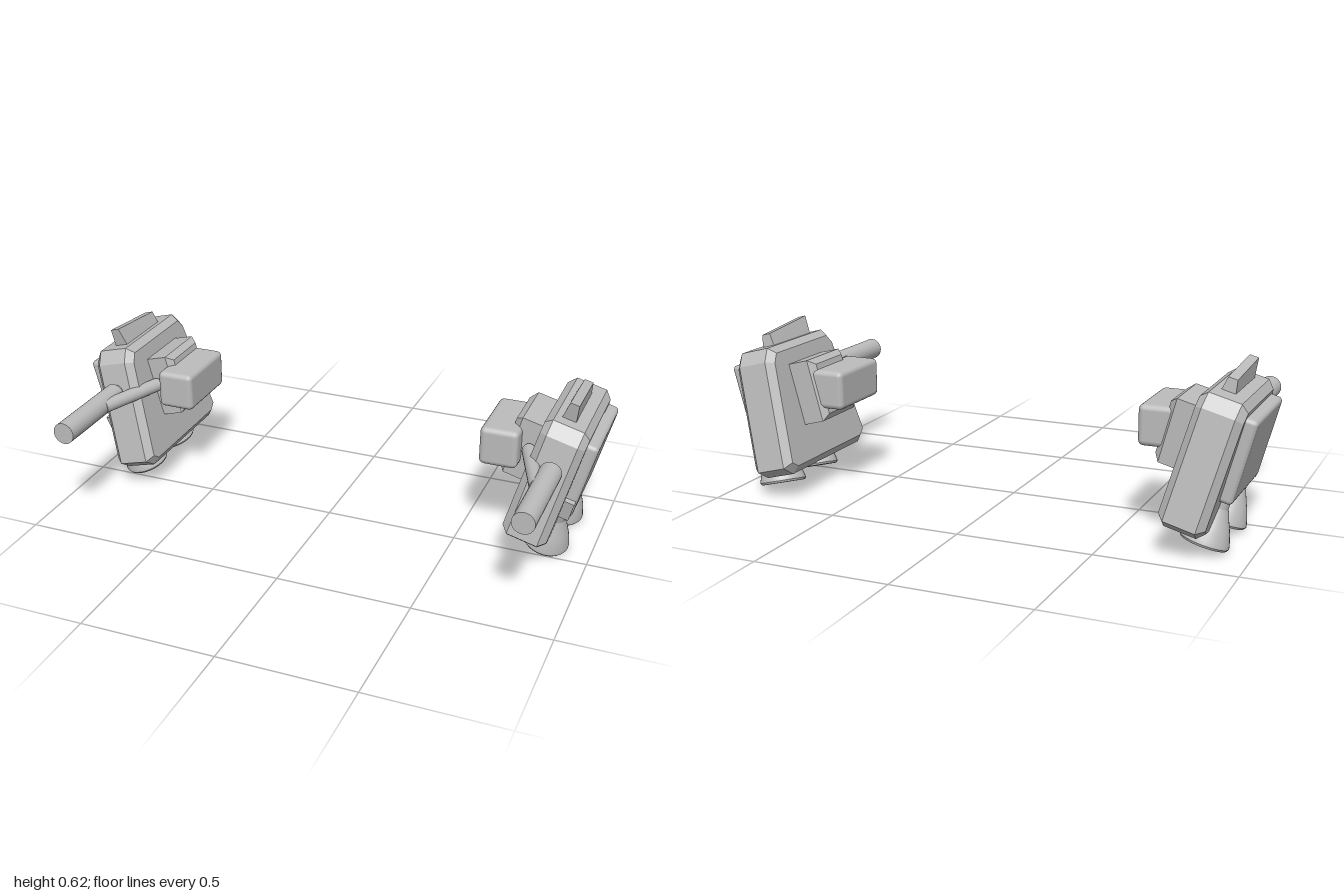
import * as THREE from 'three';
import { RoundedBoxGeometry } from 'three/addons/geometries/RoundedBoxGeometry.js';

const grey = new THREE.MeshStandardMaterial({ color: 0xbcbcbc });
grey.name = 'plain grey';

function add(parent, name, geometry, x = 0, y = 0, z = 0) {
  const mesh = new THREE.Mesh(geometry, grey);
  mesh.name = name;
  mesh.position.set(x, y, z);
  parent.add(mesh);
  return mesh;
}

// Chamfered slab: an outline in the side plane (back, up), given thickness across x
function slab(points, thickness, bevel) {
  const shape = new THREE.Shape(points.map(([a, b]) => new THREE.Vector2(a, b)));
  const geo = new THREE.ExtrudeGeometry(shape, {
    depth: thickness - 2 * bevel, bevelEnabled: true, bevelSegments: 1,
    bevelSize: bevel, bevelThickness: bevel, bevelOffset: -bevel,
  });
  geo.translate(0, 0, -(thickness - 2 * bevel) / 2);
  return geo.rotateY(Math.PI / 2);
}

// Cylinder running between two points
function rod(parent, name, from, to, r0, r1) {
  const a = new THREE.Vector3(...from), b = new THREE.Vector3(...to);
  const dir = b.clone().sub(a);
  const mesh = add(parent, name, new THREE.CylinderGeometry(r1, r0, dir.length(), 24));
  mesh.position.copy(a).add(b).multiplyScalar(0.5);
  mesh.quaternion.setFromUnitVectors(new THREE.Vector3(0, 1, 0), dir.normalize());
}

// Narrow top fin, thinner along its upper edge and lower at the back
function finGeometry() {
  const geo = new THREE.BoxGeometry(1, 1, 1);
  const p = geo.attributes.position;
  for (let i = 0; i < p.count; i++) {
    const top = p.getY(i) > 0, front = p.getZ(i) > 0;
    p.setXYZ(i,
      p.getX(i) * (top ? 0.034 : 0.058),
      top ? (front ? 0.306 : 0.283) : 0.215,
      front ? (top ? -0.015 : -0.032) : (top ? -0.277 : -0.283));
  }
  geo.computeVertexNormals();
  return geo;
}

// Bell nozzle hanging from its neck, closed across the mouth
function nozzleGeometry() {
  const profile = new THREE.SplineCurve([
    [0.041, -0.04], [0.055, -0.075], [0.072, -0.115], [0.084, -0.152], [0.087, -0.166],
  ].map(([r, y]) => new THREE.Vector2(r, y))).getPoints(12);
  return new THREE.LatheGeometry(profile.reverse(), 32);
}

function createPod() {
  const pod = new THREE.Group();

  // Everything fixed to the leaning body
  const lean = new THREE.Group();
  lean.name = 'leaningBody';
  lean.position.set(0.842, 0.32, 0);
  lean.rotation.z = -THREE.MathUtils.degToRad(15);
  pod.add(lean);

  const half = [[0.24, -0.237], [0.29, -0.203], [0.228, 0.19], [0.19, 0.237]];
  const outline = [...half, ...half.map(([a, b]) => [-a, b]).reverse()];
  add(lean, 'body', slab(outline, 0.168, 0.026), -0.008, 0, -0.17);
  add(lean, 'outerPanel', new RoundedBoxGeometry(0.07, 0.305, 0.37, 2, 0.016), 0.083, 0.043, -0.17);
  add(lean, 'panelBracket', new THREE.BoxGeometry(0.05, 0.08, 0.05), 0.088, -0.07, 0.002)
    .rotation.x = 0.2;
  add(lean, 'topFin', finGeometry(), -0.018, 0, 0);

  const m = [[0.115, -0.118], [0.115, 0.118], [-0.115, 0.118], [-0.115, -0.118]].reverse();
  add(lean, 'innerMount', slab(m, 0.13, 0.022), -0.13, 0.038, -0.175);

  // Two nozzles below the outer panel
  for (const z of [-0.037, -0.274]) {
    const nozzle = new THREE.Group();
    nozzle.name = 'nozzle';
    nozzle.position.set(0.062, -0.112, z);
    nozzle.rotation.x = 0.2;
    lean.add(nozzle);
    add(nozzle, 'nozzleNeck', new THREE.CylinderGeometry(0.04, 0.04, 0.06, 24), 0, -0.015, 0);
    add(nozzle, 'nozzleBell', nozzleGeometry());
    add(nozzle, 'nozzleMouth', new THREE.CylinderGeometry(0.087, 0.082, 0.008, 32), 0, -0.17, 0);
  }

  // Level parts: inner box, barrel and brace
  add(pod, 'innerBox', new RoundedBoxGeometry(0.142, 0.146, 0.285, 2, 0.02), 0.646, 0.406, -0.14)
    .scale.z = 1.0;
  rod(pod, 'barrelNeck', [0.86, 0.4, 0], [0.86, 0.4, 0.1], 0.028, 0.028);
  rod(pod, 'barrel', [0.86, 0.4, 0.093], [0.86, 0.4, 0.463], 0.041, 0.041);
  rod(pod, 'brace', [0.75, 0.4, -0.04], [0.84, 0.4, 0.21], 0.026, 0.026);
  add(pod, 'braceEnd', new THREE.SphereGeometry(0.026, 20, 12), 0.75, 0.4, -0.04);
  return pod;
}

export function createModel() {
  const model = new THREE.Group();
  model.name = 'podPair';
  const left = createPod();
  left.name = 'leftPod';
  const right = createPod();
  right.name = 'rightPod';
  right.scale.x = -1;
  model.add(left, right);
  return model;
}
